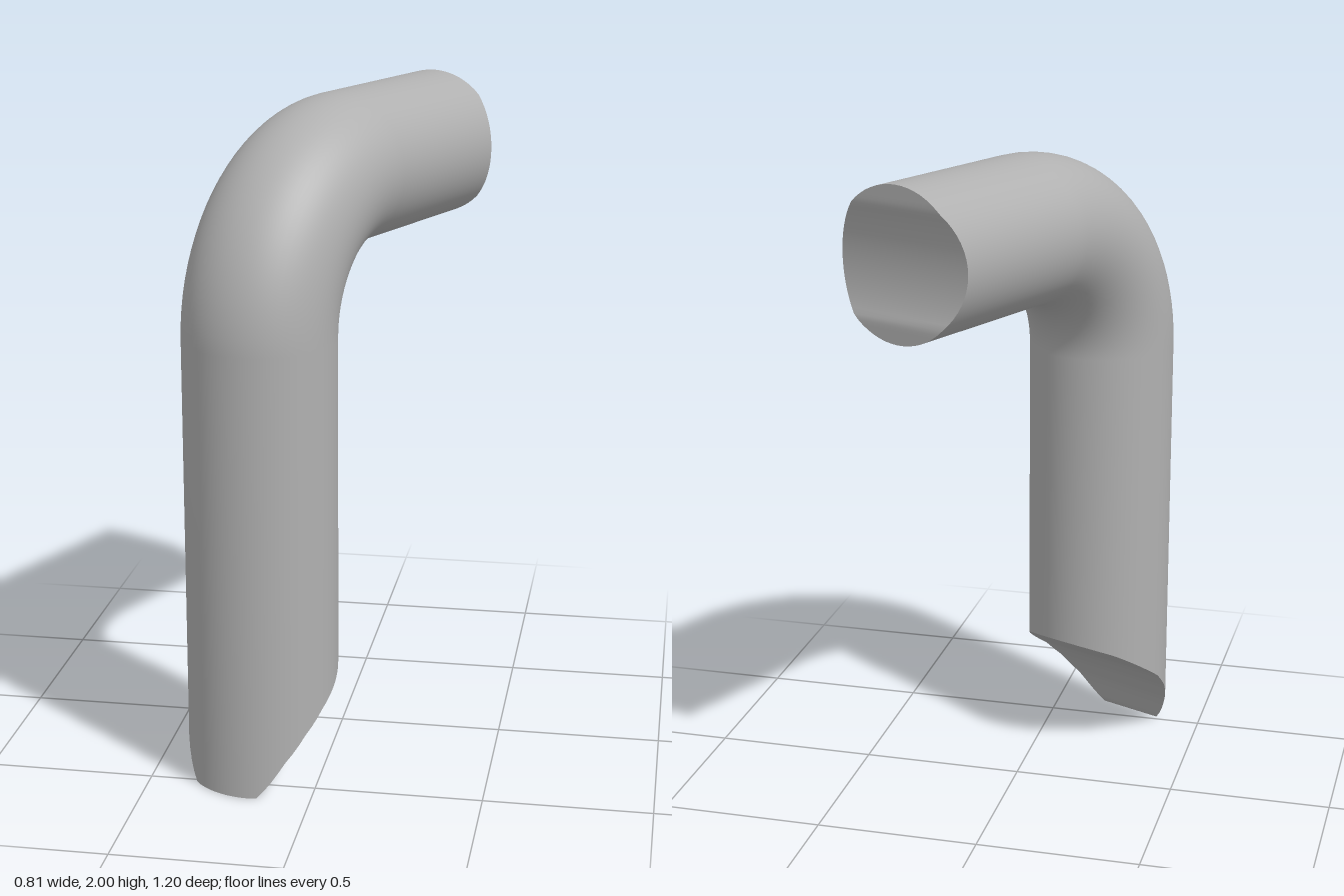
import * as THREE from 'three';

const SIDES = 64, BEND_STEPS = 20;
const RADIUS = 0.226, BEND = 0.43, BEND_Y = 1.344;

// Height of the curved cut at the foot, by distance from back (-) to front (+)
const FOOT = [[-0.226, 0.4], [-0.15, 0.362], [-0.088, 0.322], [0.02, 0.25],
  [0.088, 0.185], [0.148, 0.105], [0.2, 0], [0.226, 0]];
function footHeight(w) {
  for (let i = 1; i < FOOT.length; i++) {
    const [a, ya] = FOOT[i - 1], [b, yb] = FOOT[i];
    if (w <= b) return ya + (yb - ya) * Math.max(0, (w - a) / (b - a));
  }
  return 0;
}

// Reach of the saddle-shaped cut at the outlet, by sideways distance
const outletReach = (x) => 0.99 - 0.034 * Math.max(0, (Math.abs(x) - 0.157) / 0.069);

const footPoint = (x, w) => [x, footHeight(w), w];
const outletPoint = (x, w) => [x, BEND_Y + BEND + w, -outletReach(x)];
const bendPoint = (x, w, phi) =>
  [x, BEND_Y + (BEND + w) * Math.sin(phi), -BEND + (BEND + w) * Math.cos(phi)];

// Skin joining rows of points; closed rows wrap round
function skin(rows, closed, flip = false) {
  const n = rows[0].length, index = [];
  for (let r = 0; r < rows.length - 1; r++) {
    for (let i = 0; i < (closed ? n : n - 1); i++) {
      const k = (i + 1) % n;
      const a = r * n + i, b = r * n + k, c = a + n, d = b + n;
      if (flip) index.push(a, d, b, a, c, d);
      else index.push(a, b, d, a, d, c);
    }
  }
  const g = new THREE.BufferGeometry();
  g.setAttribute('position', new THREE.Float32BufferAttribute(rows.flat(2), 3));
  g.setIndex(index);
  g.computeVertexNormals();
  return g;
}

const ring = (fn) => Array.from({ length: SIDES }, (_, i) => {
  const a = (i / SIDES) * Math.PI * 2;
  return fn(RADIUS * Math.sin(a), RADIUS * Math.cos(a));
});

// End face made of strips running straight across between mirrored rim points
function endFace(fn, flip) {
  const rows = [];
  for (let j = 0; j <= SIDES / 2; j++) {
    const a = (j / SIDES) * Math.PI * 2;
    const x = RADIUS * Math.sin(a), w = RADIUS * Math.cos(a);
    rows.push([fn(-x, w), fn(x, w)]);
  }
  return skin(rows, false, flip);
}

export function createModel() {
  const grey = new THREE.MeshStandardMaterial({ color: 0xb0b0b0 });
  grey.name = 'grey';
  const model = new THREE.Group();
  model.name = 'bentPipe';
  const add = (name, geometry) => {
    const mesh = new THREE.Mesh(geometry, grey);
    mesh.name = name;
    model.add(mesh);
  };

  // Upright, elbow and horizontal arm in one smooth skin
  const rows = [ring(footPoint)];
  for (let i = 0; i <= BEND_STEPS; i++) {
    const phi = (i / BEND_STEPS) * Math.PI / 2;
    rows.push(ring((x, w) => bendPoint(x, w, phi)));
  }
  rows.push(ring(outletPoint));
  add('pipeWall', skin(rows, true));

  // Shaped ends
  add('footEnd', endFace(footPoint, true));
  add('outletEnd', endFace(outletPoint, false));

  // Turn the arm towards the back left
  model.rotation.y = -0.4;
  model.position.set(-0.18, 0, 0.373);
  const root = new THREE.Group();
  root.name = 'pipeElbow';
  root.add(model);
  return root;
}
